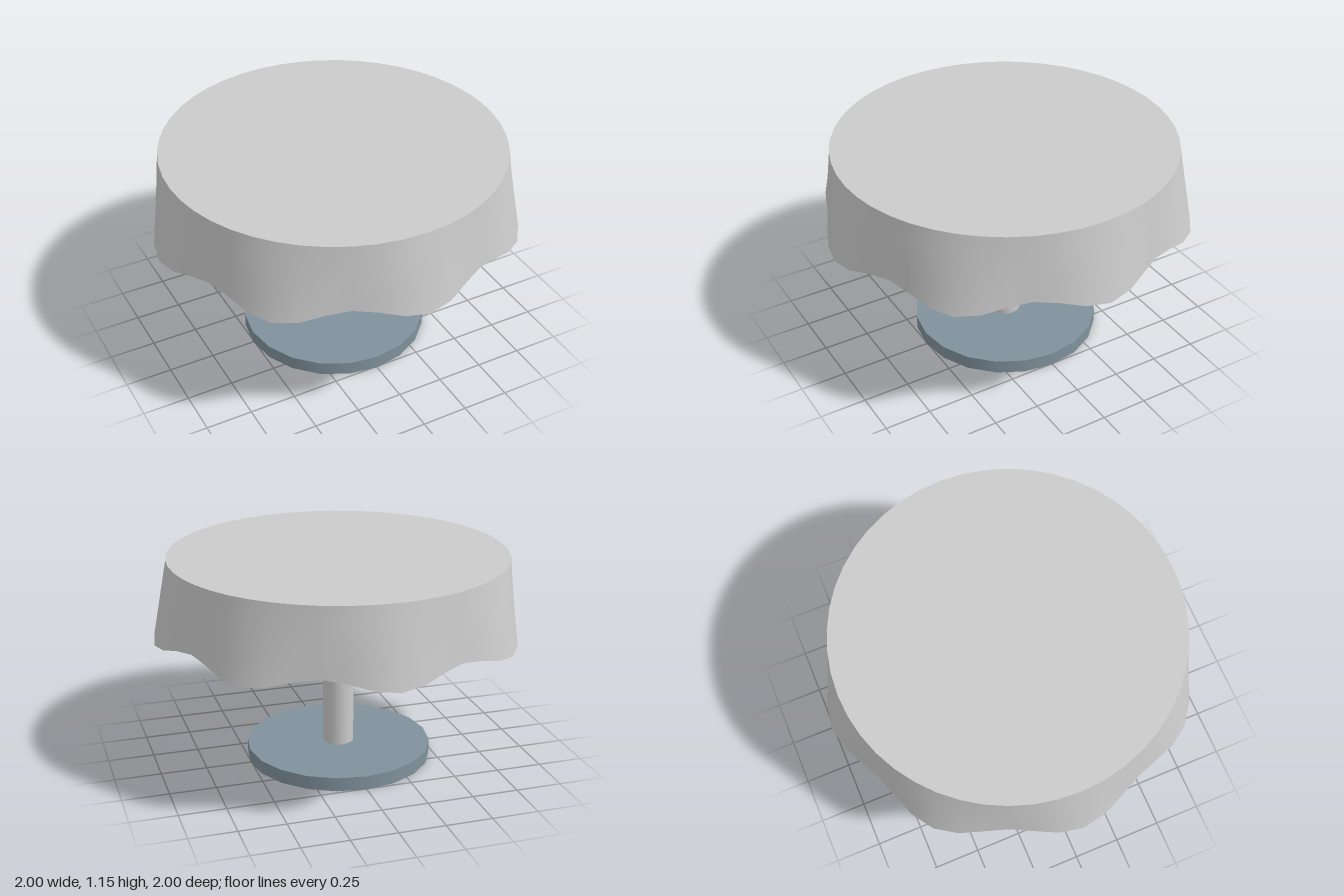
import * as THREE from 'three';

const SEGMENTS = 48, ROWS = 4, LOBES = 8;
const TOP_Y = 1.155, TOP_R = 0.91;

// Hanging cloth: a round upper edge that flares into a wavy, scalloped hem
function skirtGeometry() {
  const geometry = new THREE.CylinderGeometry(1, 1, 1, SEGMENTS, ROWS, true);
  const p = geometry.attributes.position;
  for (let i = 0; i < p.count; i++) {
    const a = Math.atan2(p.getX(i), p.getZ(i));
    const t = 0.5 - p.getY(i); // 0 at the upper edge, 1 at the hem
    const wave = Math.cos(LOBES * a);
    const r = THREE.MathUtils.lerp(TOP_R, 0.972 + 0.028 * wave, t);
    const y = THREE.MathUtils.lerp(TOP_Y, 0.77 - 0.031 * wave, t);
    p.setXYZ(i, r * Math.sin(a), y, r * Math.cos(a));
  }
  geometry.computeVertexNormals();

  // Match the normals across the seam
  const n = geometry.attributes.normal;
  for (let row = 0; row <= ROWS; row++) {
    const first = row * (SEGMENTS + 1), last = first + SEGMENTS;
    const v = new THREE.Vector3().fromBufferAttribute(n, first)
      .add(new THREE.Vector3().fromBufferAttribute(n, last)).normalize();
    n.setXYZ(first, v.x, v.y, v.z);
    n.setXYZ(last, v.x, v.y, v.z);
  }
  return geometry;
}

export function createModel() {
  const group = new THREE.Group();
  const grey = new THREE.MeshStandardMaterial({ color: 0xcccccc });
  const cloth = new THREE.MeshStandardMaterial({ color: 0xcccccc, side: THREE.DoubleSide });
  const blueGrey = new THREE.MeshStandardMaterial({ color: 0x80929c });

  const add = (name, geometry, material) => {
    const mesh = new THREE.Mesh(geometry, material);
    mesh.name = name;
    group.add(mesh);
    return mesh;
  };
  // Upright cylinder between two heights
  const disc = (name, r, y0, y1, sides, material) => {
    const mesh = add(name, new THREE.CylinderGeometry(r, r, y1 - y0, sides), material);
    mesh.position.y = (y0 + y1) / 2;
  };

  // Foot, column and the board under the cloth
  disc('base', 0.506, 0, 0.075, 20, blueGrey);
  disc('column', 0.084, 0.075, 1.07, 20, grey);
  disc('tableTop', 0.9, 1.06, 1.145, 20, grey);

  // Tablecloth
  const top = add('clothTop', new THREE.CircleGeometry(TOP_R, SEGMENTS), cloth);
  top.rotation.x = -Math.PI / 2;
  top.position.y = TOP_Y;
  add('clothSkirt', skirtGeometry(), cloth);

  return group;
}
